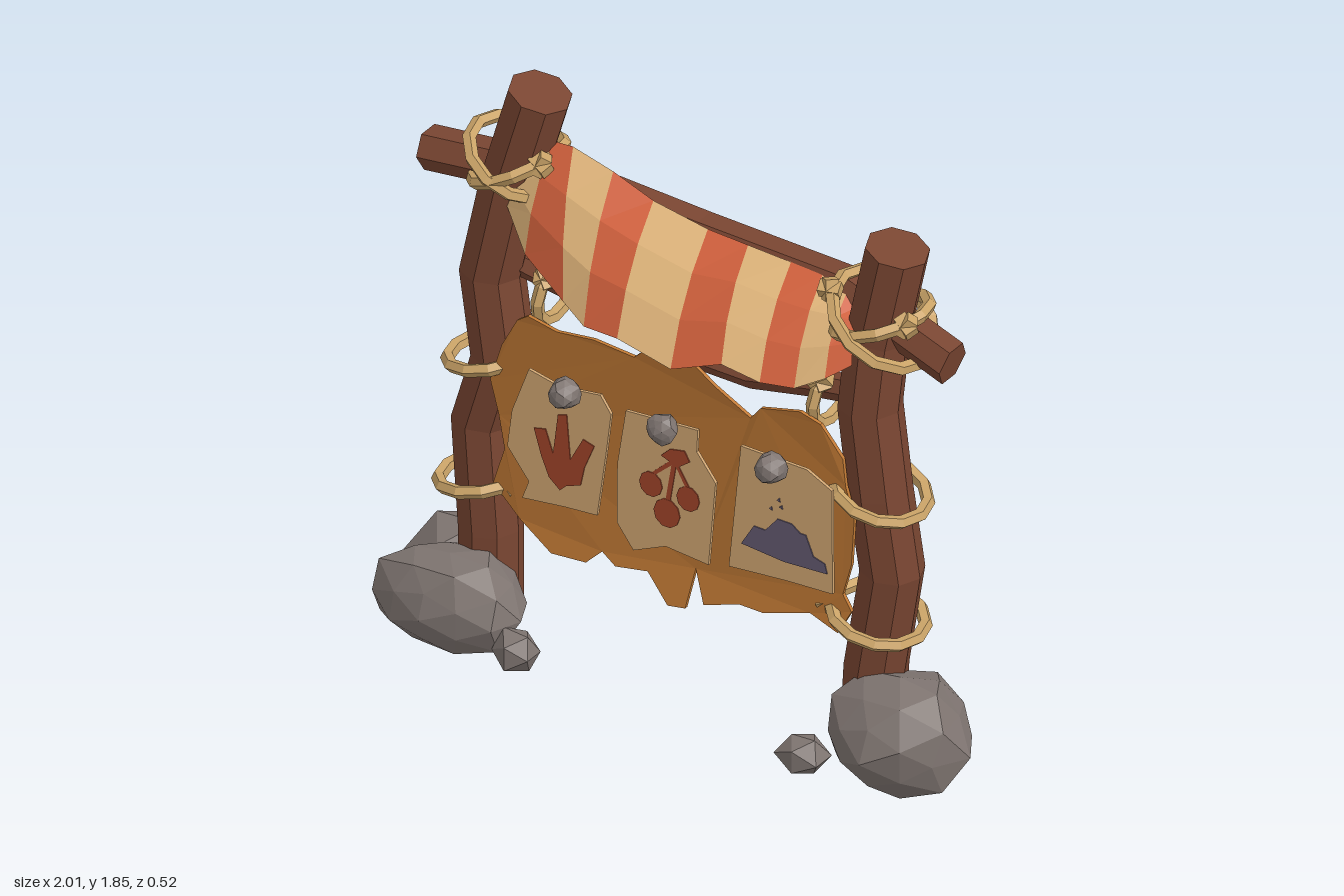
import * as THREE from 'three';

const mat = (name, color, extra = {}) => {
  const m = new THREE.MeshStandardMaterial({ color, flatShading: true, ...extra });
  m.name = name;
  return m;
};

export function createModel() {
  const root = new THREE.Group();
  root.name = 'noticeBoard';
  const wood = mat('wood', 0x7a4632);
  const hideMat = mat('hide', 0xc27a35);
  const ropeMat = mat('rope', 0xcba468);
  const stone = mat('stone', 0x7f7571);
  const cream = mat('creamCloth', 0xdfb47a, { side: THREE.DoubleSide });
  const red = mat('redCloth', 0xd2613d, { side: THREE.DoubleSide });
  const parchment = mat('parchment', 0xcfa471);
  const redPaint = mat('redPaint', 0x9f4429);
  const bluePaint = mat('bluePaint', 0x62586f);

  const add = (name, geometry, material, parent = root) => {
    const mesh = new THREE.Mesh(geometry, material);
    mesh.name = name;
    parent.add(mesh);
    return mesh;
  };

  // Crooked log: a cylinder whose rings follow a path of [x, y, z] points
  function log(name, path, r, sides) {
    const n = path.length - 1;
    const g = new THREE.CylinderGeometry(r, r, 1, sides, n);
    const p = g.attributes.position;
    for (let i = 0; i < p.count; i++) {
      const k = Math.round((p.getY(i) + 0.5) * n);
      const a = path[Math.max(k - 1, 0)], b = path[Math.min(k + 1, n)], c = path[k];
      const len = Math.hypot(b[0] - a[0], b[1] - a[1]);
      const tx = (b[0] - a[0]) / len, ty = (b[1] - a[1]) / len;
      p.setXYZ(i, c[0] + p.getX(i) * ty, c[1] - p.getX(i) * tx, c[2] + p.getZ(i));
    }
    g.computeVertexNormals();
    add(name, g, wood);
  }
  log('rightPost', [[-0.7, 0.03, -0.08], [-0.7, 0.3, -0.08], [-0.725, 0.66, -0.08], [-0.65, 0.9, -0.07],
    [-0.69, 1.18, -0.07], [-0.625, 1.5, -0.08], [-0.535, 1.82, -0.09]], 0.097, 8);
  log('leftPost', [[0.63, 0.03, -0.08], [0.645, 0.3, -0.08], [0.7, 0.64, -0.08], [0.665, 0.9, -0.07],
    [0.63, 1.18, -0.07], [0.645, 1.42, -0.09], [0.705, 1.72, -0.1]], 0.097, 8);
  log('topBeam', [[-0.915, 1.505, -0.08], [-0.5, 1.54, -0.11], [0, 1.5, -0.14], [0.52, 1.5, -0.13], [0.91, 1.41, -0.08]], 0.068, 6);
  log('lowerBeam', [[-0.66, 1.22, -0.1], [-0.42, 1.17, -0.12], [-0.12, 1.09, -0.13], [0.18, 1.09, -0.13],
    [0.42, 1.15, -0.12], [0.64, 1.2, -0.1]], 0.042, 6);

  // Lumpy rock resting on, or cut by, the ground
  function rock(name, [x, y, z], [rx, ry, rz], detail = 1) {
    const g = new THREE.IcosahedronGeometry(1, detail);
    const p = g.attributes.position;
    for (let i = 0; i < p.count; i++) {
      const [a, b, c] = [p.getX(i), p.getY(i), p.getZ(i)].map(v => Math.round(v * 100) / 100);
      const s = 1 + 0.09 * Math.sin(a * 7.3 + b * 11.9 + c * 5.7 + x * 9);
      p.setXYZ(i, x + a * rx * s, Math.max(0, y + b * ry * s), z + c * rz * s);
    }
    g.computeVertexNormals();
    add(name, g, stone);
  }
  rock('rightBoulder', [-0.735, 0.12, 0.08], [0.235, 0.16, 0.175]);
  rock('rightBackRock', [-0.85, 0.12, -0.13], [0.15, 0.15, 0.13], 0);
  rock('rightPebble', [-0.47, 0.055, 0.13], [0.08, 0.07, 0.07], 0);
  rock('leftBoulder', [0.775, 0.14, -0.01], [0.225, 0.19, 0.21]);
  rock('leftBackRock', [0.66, 0.07, -0.12], [0.12, 0.1, 0.1], 0);
  rock('leftPebble', [0.53, 0.055, 0.13], [0.08, 0.07, 0.07], 0);

  // Rope loop with a small knot; hanging loops stand upright across the beam
  function rope(name, [x, y, z], r, tilt, side, hanging = false) {
    const group = new THREE.Group();
    group.name = name;
    const ring = add('loop', new THREE.TorusGeometry(r, 0.021, 5, 12), ropeMat, group);
    if (hanging) ring.rotation.y = Math.PI / 2;
    else ring.rotation.x = Math.PI / 2;
    const at = hanging ? [0, r * 0.75, r * 0.7] : [side * r * 0.95, 0, r * 0.45];
    for (const turn of [0.5, -0.6]) {
      const knot = add('knot', new THREE.BoxGeometry(0.065, 0.036, 0.04), ropeMat, group);
      knot.position.set(...at);
      knot.rotation.set(0.3, turn, turn);
    }
    group.position.set(x, y, z);
    group.rotation.z = tilt;
    root.add(group);
  }
  rope('rightUpperTie', [-0.69, 0.895, -0.075], 0.135, 0.24, 1);
  rope('rightLowerTie', [-0.705, 0.485, -0.06], 0.14, 0.22, 1);
  rope('leftUpperTie', [0.665, 0.895, -0.075], 0.14, -0.28, -1);
  rope('leftLowerTie', [0.665, 0.48, -0.06], 0.14, -0.24, -1);
  rope('rightCrossLashing', [-0.62, 1.57, -0.09], 0.15, -0.52, 1);
  rope('rightCrossLashing', [-0.61, 1.56, -0.09], 0.145, 0.48, 1);
  rope('leftCrossLashing', [0.66, 1.47, -0.09], 0.17, -0.62, -1);
  rope('leftCrossLashing', [0.655, 1.48, -0.09], 0.145, 0.32, 1);
  rope('rightHanger', [-0.47, 1.18, -0.08], 0.1, -0.12, 1, true);
  rope('leftHanger', [0.49, 1.17, -0.08], 0.1, -0.12, 1, true);

  // Striped awning: a plane bent between a top and a bottom edge, one column per stripe
  const top = [[-0.55, 1.62], [-0.49, 1.67], [-0.42, 1.675], [-0.28, 1.64], [-0.14, 1.59], [0.05, 1.56],
    [0.19, 1.555], [0.34, 1.55], [0.45, 1.545], [0.54, 1.53], [0.6, 1.5]];
  const bottom = [[-0.59, 1.46, 0], [-0.48, 1.37, 0.07], [-0.3, 1.31, 0.14], [-0.2, 1.28, 0.18], [-0.07, 1.295, 0.2],
    [0.12, 1.26, 0.205], [0.28, 1.32, 0.18], [0.4, 1.29, 0.16], [0.5, 1.29, 0.13], [0.58, 1.33, 0.09], [0.64, 1.37, 0.04]];
  const cols = top.length - 1, rows = 3;
  const awning = new THREE.PlaneGeometry(1, 1, cols, rows);
  for (let j = 0; j <= rows; j++) {
    for (let i = 0; i <= cols; i++) {
      const t = j / rows, mix = THREE.MathUtils.lerp, bulge = 0.08 * t * (1 - t);
      awning.attributes.position.setXYZ(j * (cols + 1) + i, mix(top[i][0], bottom[i][0], t),
        mix(top[i][1], bottom[i][1], t) + bulge, mix(-0.09, bottom[i][2], t) + bulge);
    }
  }
  for (let c = 0; c < cols * rows; c++) awning.addGroup(c * 6, 6, (c % cols) % 2);
  awning.computeVertexNormals();
  add('stripedAwning', awning, [cream, red]);

  // Thin plate from an outline in hundredths, set at depth zAt(y)
  function plate(name, outline, depth, zAt, material) {
    const shape = new THREE.Shape(outline.map(([x, y]) => new THREE.Vector2(x / 100, y / 100)));
    const g = new THREE.ExtrudeGeometry(shape, { depth, bevelEnabled: false });
    const p = g.attributes.position;
    for (let i = 0; i < p.count; i++) p.setZ(i, p.getZ(i) + zAt(p.getY(i)));
    g.computeVertexNormals();
    add(name, g, material);
  }

  // Ragged hide, its top and bottom edges curling forward
  plate('hideBoard', [[-49, 114], [-39, 112], [-26, 114], [-12, 113], [-5, 120], [7, 120], [16, 113], [28, 106], [32, 111],
    [46, 115], [53, 113], [60, 103], [61, 94], [64, 84], [63, 68], [60, 57], [63, 52], [59, 44], [49, 47], [33, 42],
    [25, 42], [13, 38], [9, 48], [7, 35], [1, 34], [-7, 42], [-18, 40], [-23, 43], [-28, 38], [-40, 37], [-52, 44],
    [-62, 52], [-58, 65], [-60, 76], [-63, 87], [-59, 100], [-53, 111]], 0.012,
  y => 0.015 + 0.2 * Math.max(0, 0.5 - y) + 0.12 * Math.max(0, y - 1.03), hideMat);

  // Parchment notices leaning out at the bottom, each under a stone pin
  const lean = y => 0.105 - 0.08 * (y - 0.55);
  const face = y => lean(y) + 0.0105;
  const notices = [
    [[-46, 99], [-35, 97], [-21, 99], [-17, 94], [-18, 81], [-20, 60], [-31, 59], [-46, 57], [-44, 63], [-52, 72], [-51, 84]],
    [[-12, 97], [13, 99], [13, 92], [20, 84], [19, 57], [4, 58], [-7, 53], [-13, 60], [-14, 79]],
    [[28, 99], [51, 99], [60, 95], [62, 62], [46, 61], [26, 59], [27, 79]],
  ];
  notices.forEach(o => plate('notice', o, 0.01, lean, parchment));
  [-0.3, 0.04, 0.42].forEach(x => rock('stonePin', [x, 0.99, 0.13], [0.047, 0.048, 0.047]));

  // Painted claw print
  plate('clawPrint', [[-43, 81], [-39, 82], [-36, 75], [-35, 88], [-32, 89], [-30, 75], [-26, 83], [-22, 82], [-25, 74],
    [-26, 68], [-31, 66], [-33, 64], [-37, 67], [-40, 73]], 0.003, face, redPaint);

  // Painted berries with stems and a leaf
  for (const [x, y, r] of [[-2, 76.5, 4], [4, 69, 4.6], [11, 76, 4]]) {
    const dot = Array.from({ length: 10 }, (_, i) => [x + r * Math.cos(i * Math.PI / 5), y + r * Math.sin(i * Math.PI / 5)]);
    plate('berry', dot, 0.003, face, redPaint);
    plate('stem', [[x - 0.8, y + 3], [5, 87], [6.5, 86.5], [x + 0.8, y + 3]], 0.0025, face, redPaint);
  }
  plate('leaf', [[1, 87], [4, 90], [9, 91], [11, 88], [7, 85]], 0.0035, face, redPaint);

  // Painted mountain with sparks above
  plate('mountain', [[30, 68], [34, 75], [38, 75], [42, 80], [47, 80], [50, 78], [52, 78], [55, 72], [59, 71], [60, 68], [45, 67]],
    0.003, face, bluePaint);
  for (const [x, y] of [[42, 86], [39.5, 82.5], [43, 84]])
    plate('spark', [[x - 0.6, y], [x + 0.6, y - 0.4], [x + 0.3, y + 0.8]], 0.003, face, bluePaint);

  return root;
}
